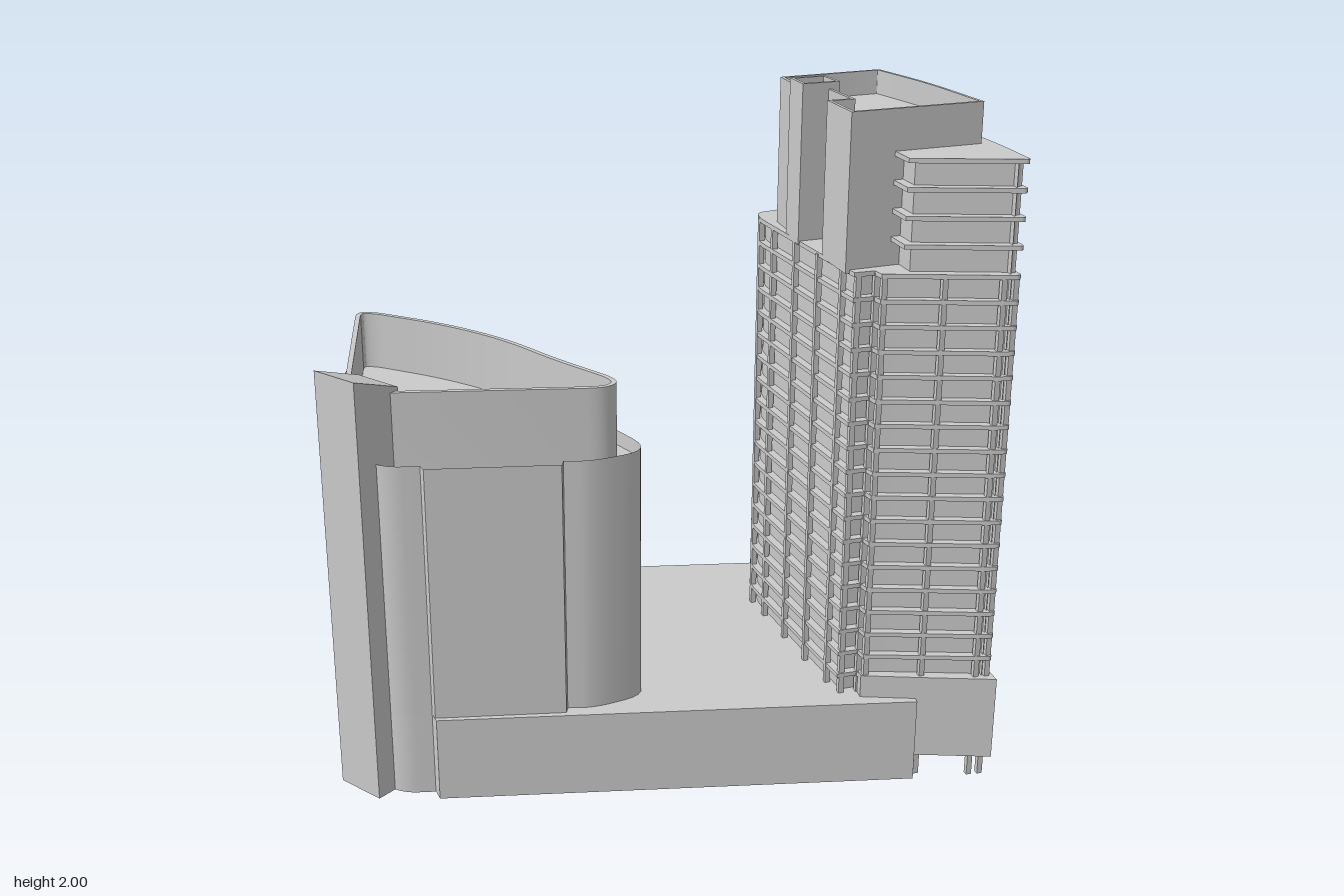
import * as THREE from 'three';
import { toCreasedNormals } from 'three/addons/utils/BufferGeometryUtils.js';

const mat = new THREE.MeshStandardMaterial({ color: 0xcccccc, side: THREE.DoubleSide });

// Plan corners are [x, z, radius]; a radius turns the corner into a short curve.
function plan(corners) {
  const out = [], n = corners.length;
  corners.forEach(([x, z, r], i) => {
    const p = new THREE.Vector2(x, z);
    if (!r) { out.push(p); return; }
    const toward = (q) => {
      const v = new THREE.Vector2(q[0], q[1]).sub(p);
      return p.clone().addScaledVector(v.clone().normalize(), Math.min(r, v.length() * 0.48));
    };
    const a = toward(corners[(i + n - 1) % n]), b = toward(corners[(i + 1) % n]);
    out.push(...new THREE.QuadraticBezierCurve(a, p, b).getPoints(6));
  });
  return out;
}

// Moves a plan inward by d with mitred corners.
function inset(pts, d) {
  const s = THREE.ShapeUtils.isClockWise(pts) ? -1 : 1, n = pts.length;
  return pts.map((p, i) => {
    const u = p.clone().sub(pts[(i + n - 1) % n]).normalize();
    const v = pts[(i + 1) % n].clone().sub(p).normalize();
    const m = new THREE.Vector2(-(u.y + v.y), u.x + v.x);
    return p.clone().addScaledVector(m, s * d / Math.max(0.4, 1 + u.dot(v)));
  });
}

const flip = (pts) => pts.map((p) => new THREE.Vector2(p.x, -p.y));

function add(group, name, geo) {
  const mesh = new THREE.Mesh(geo, mat);
  mesh.name = name;
  group.add(mesh);
  return mesh;
}

// Solid prism between two heights, optionally with a hole.
function prism(group, name, pts, y0, y1, hole) {
  const shape = new THREE.Shape(flip(pts));
  if (hole) shape.holes.push(new THREE.Path(flip(hole)));
  const geo = new THREE.ExtrudeGeometry(shape, { depth: y1 - y0, bevelEnabled: false });
  geo.rotateX(-Math.PI / 2).translate(0, y0, 0);
  return add(group, name, toCreasedNormals(geo, 0.5));
}

// Thin upright wall following a plan; top(p) may vary the height.
function wall(group, name, pts, y0, top) {
  const ccw = THREE.ShapeUtils.isClockWise(pts) ? pts : [...pts].reverse();
  const pos = [];
  ccw.forEach((a, i) => {
    const b = ccw[(i + 1) % ccw.length], ta = top(a), tb = top(b);
    pos.push(a.x, y0, a.y, b.x, y0, b.y, b.x, tb, b.y, a.x, y0, a.y, b.x, tb, b.y, a.x, ta, a.y);
  });
  const geo = new THREE.BufferGeometry();
  geo.setAttribute('position', new THREE.Float32BufferAttribute(pos, 3));
  geo.computeVertexNormals();
  return add(group, name, toCreasedNormals(geo, 0.5));
}

function deck(group, name, pts, y) {
  const geo = new THREE.ShapeGeometry(new THREE.Shape(flip(pts)));
  return add(group, name, geo.rotateX(-Math.PI / 2).translate(0, y, 0));
}

function makePart(root, name) {
  const g = new THREE.Group();
  g.name = name;
  root.add(g);
  return g;
}

export function createModel() {
  const root = new THREE.Group();
  root.name = 'towerComplex';

  // Podium: open-bottomed shell with a flat roof
  const podium = makePart(root, 'podium');
  const podiumPlan = plan([
    [-0.73, 0.30], [-0.735, 0.26], [-0.83, 0.24, 0.05], [-0.965, 0.06, 0.1], [-0.82, -0.66, 0.16],
    [-0.66, -0.68, 0.1], [-0.53, -0.585], [-0.28, -0.60, 0.06], [0.85, -0.36], [0.92, -0.33],
    [0.97, -0.28], [0.985, -0.2], [0.90, 0.41], [0.66, 0.42], [0.64, 0.59],
  ]);
  wall(podium, 'podiumWalls', podiumPlan, 0, () => 0.26);
  deck(podium, 'podiumRoof', podiumPlan, 0.26);

  // Low tower: curved body, set-back crown and corner shaft
  const low = makePart(root, 'lowTower');
  const lowPlan = plan([
    [-0.73, 0.285], [-0.735, 0.26], [-0.83, 0.24, 0.05], [-0.965, 0.06, 0.1], [-0.82, -0.66, 0.16],
    [-0.66, -0.68, 0.14], [-0.33, -0.45, 0.12], [-0.18, -0.09], [-0.245, -0.06],
    [-0.15, 0.13, 0.1], [-0.09, 0.32, 0.16], [-0.27, 0.355, 0.06], [-0.35, 0.335], [-0.36, 0.36],
  ]);
  wall(low, 'lowTowerWalls', lowPlan, 0.26, () => 1.035);
  deck(low, 'lowTowerRoof', lowPlan, 0.99);
  const crown = plan([
    [-0.905, 0.07, 0.04], [-0.785, -0.59, 0.05], [-0.73, -0.575, 0.04], [-0.54, -0.40, 0.12],
    [-0.39, -0.20, 0.12], [-0.29, 0.02, 0.1], [-0.16, 0.25, 0.08], [-0.21, 0.305, 0.06], [-0.87, 0.16, 0.04],
  ]);
  prism(low, 'crownParapet', crown, 0.99, 1.225, inset(crown, 0.015));
  deck(low, 'crownRoof', inset(crown, 0.005), 1.05);
  const shaftPlan = plan([[-0.99, 0.12], [-0.86, 0.03], [-0.77, 0.16], [-0.90, 0.25]]);
  const slope = (p) => 1.29 - 0.055 * THREE.MathUtils.clamp(
    ((p.x + 0.99) * 0.13 - (p.y - 0.12) * 0.09) / 0.025, 0, 1);
  wall(low, 'cornerShaft', shaftPlan, 0, slope);
  const cap = deck(low, 'cornerShaftRoof', shaftPlan, 0);
  const cp = cap.geometry.attributes.position;
  for (let i = 0; i < cp.count; i++) cp.setY(i, slope({ x: cp.getX(i), y: cp.getZ(i) }));
  cap.geometry.computeVertexNormals();

  // Tall tower: main block with a thin slab at each floor
  const tall = makePart(root, 'tallTower');
  const floorPlan = plan([
    [0.385, -0.15, 0.04], [0.40, -0.215, 0.03], [0.57, -0.25], [0.575, -0.268], [0.69, -0.295, 0.06],
    [0.80, -0.275, 0.06], [0.83, -0.16, 0.08], [0.875, 0.03, 0.1], [0.898, 0.25, 0.1], [0.893, 0.415],
    [0.858, 0.415], [0.853, 0.63, 0.015], [0.81, 0.62, 0.02], [0.56, 0.535], [0.495, 0.515],
    [0.49, 0.48], [0.43, 0.48], [0.415, 0.30],
  ]);
  prism(tall, 'mainBlock', inset(floorPlan, 0.024), 0.26, 1.545);
  for (let i = 0; i < 18; i++) {
    const y = 1.55 - i * 0.072;
    prism(tall, 'floorSlab', floorPlan, y - 0.013, y);
  }

  // Slender columns running to the ground
  const columns = [
    [0.395, -0.16], [0.42, -0.205], [0.50, -0.225], [0.58, -0.25], [0.68, -0.28], [0.77, -0.262],
    [0.797, -0.21], [0.817, -0.15], [0.841, -0.06], [0.872, 0.10], [0.886, 0.255], [0.882, 0.40],
    [0.849, 0.43], [0.846, 0.505], [0.843, 0.612], [0.81, 0.608], [0.66, 0.558], [0.505, 0.508],
    [0.497, 0.475], [0.445, 0.47], [0.43, 0.40], [0.417, 0.255], [0.408, 0.10], [0.40, -0.06],
  ];
  for (const [x, z] of columns) {
    add(tall, 'column', new THREE.BoxGeometry(0.016, 1.545, 0.016)).position.set(x, 0.7725, z);
  }
  prism(tall, 'entranceBlock', plan([[0.49, 0.515], [0.64, 0.57], [0.862, 0.648], [0.862, 0.435], [0.50, 0.435]]), 0.07, 0.33);

  // Set-back upper floors
  const upper = plan([
    [0.55, 0.44], [0.55, 0.53], [0.853, 0.632, 0.015], [0.86, 0.38, 0.12], [0.83, 0.09, 0.12],
    [0.775, -0.187, 0.02], [0.55, -0.155], [0.55, 0.1],
  ]);
  prism(tall, 'upperBlock', inset(upper, 0.028), 1.54, 1.855);
  for (let i = 0; i < 4; i++) {
    const y = 1.865 - i * 0.078;
    prism(tall, 'upperSlab', upper, y - 0.013, y);
  }

  // Roof core with a notched side, parapet and lift shaft
  const core = plan([
    [0.42, -0.095], [0.745, -0.135, 0.015], [0.795, 0.12, 0.12], [0.815, 0.415], [0.415, 0.453],
    [0.415, 0.28], [0.485, 0.275], [0.48, 0.12], [0.41, 0.12],
  ]);
  prism(tall, 'coreWalls', core, 1.54, 1.98, inset(core, 0.01));
  deck(tall, 'coreRoof', inset(core, 0.004), 1.91);
  const lift = plan([[0.40, 0.035], [0.51, 0.025], [0.515, 0.125], [0.40, 0.135]]);
  prism(tall, 'liftShaft', lift, 1.54, 2.0, inset(lift, 0.01));
  deck(tall, 'liftShaftRoof', inset(lift, 0.004), 1.97);

  return root;
}
